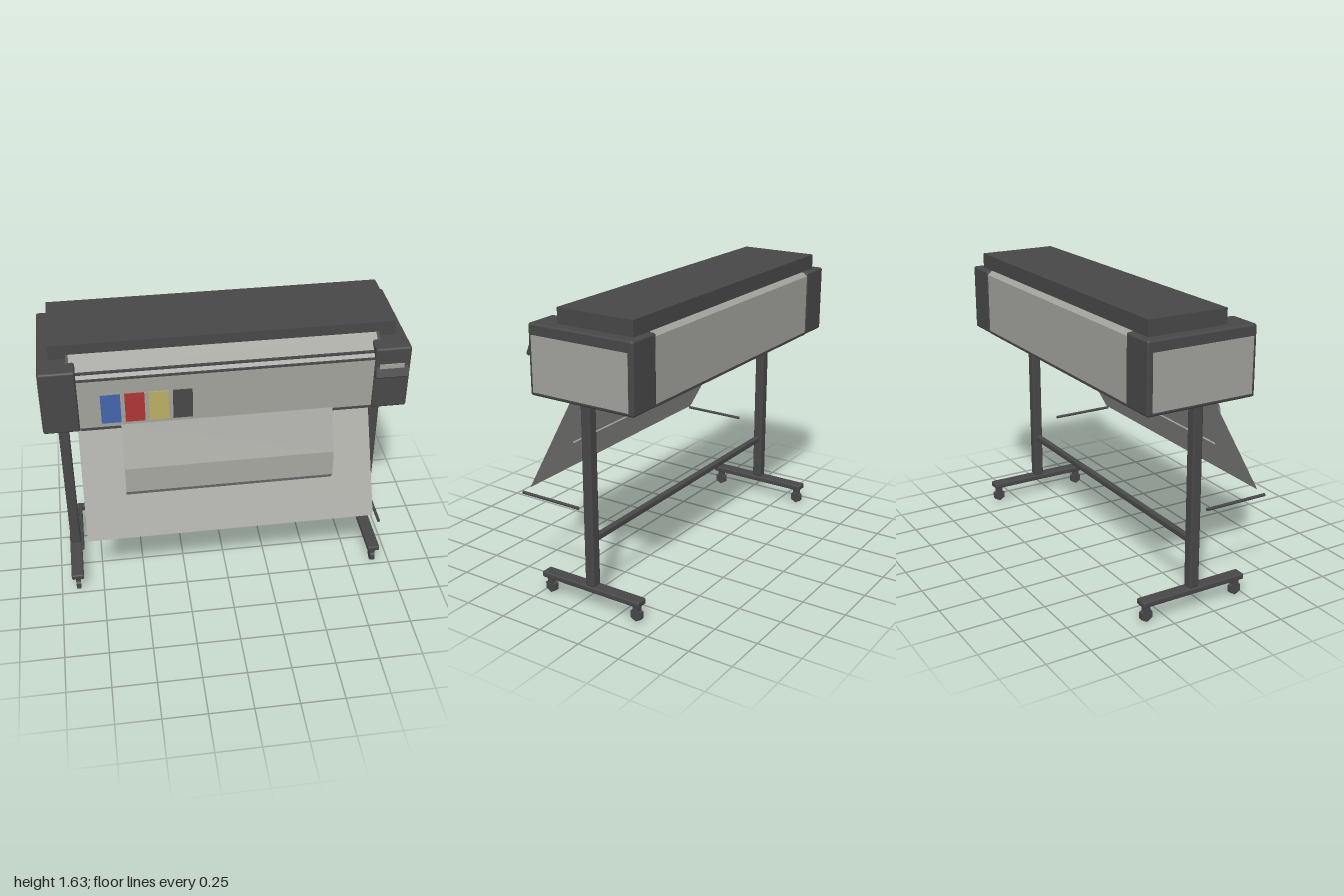
import * as THREE from 'three';
import { RoundedBoxGeometry } from 'three/addons/geometries/RoundedBoxGeometry.js';

const mat = (name, color, side = THREE.FrontSide) => {
  const m = new THREE.MeshStandardMaterial({ color, side });
  m.name = name;
  return m;
};

export function createModel() {
  const model = new THREE.Group();
  model.name = 'wideFormatPrinter';
  const dark = mat('charcoal', 0x484848);
  const light = mat('warmGrey', 0xa2a39d, THREE.DoubleSide);
  const blue = mat('blueInk', 0x4664ad);
  const red = mat('redInk', 0xaf3535);
  const yellow = mat('yellowInk', 0xbcae66);

  const add = (name, geo, material, x = 0, y = 0, z = 0) => {
    const mesh = new THREE.Mesh(geo, material);
    mesh.name = name;
    mesh.position.set(x, y, z);
    model.add(mesh);
    return mesh;
  };
  // Box given by its limits on each axis; r rounds the edges
  const box = (name, m, [x0, x1], [y0, y1], [z0, z1], r = 0) => {
    const size = [x1 - x0, y1 - y0, z1 - z0];
    const geo = r ? new RoundedBoxGeometry(...size, 2, r) : new THREE.BoxGeometry(...size);
    return add(name, geo, m, (x0 + x1) / 2, (y0 + y1) / 2, (z0 + z1) / 2);
  };
  // Solid with a [z, y] outline, running along x
  const prism = (name, m, outline, x0, x1) => {
    const shape = new THREE.Shape(outline.map(([z, y]) => new THREE.Vector2(z, y)));
    const geo = new THREE.ExtrudeGeometry(shape, { depth: x1 - x0, bevelEnabled: false });
    geo.rotateY(-Math.PI / 2);
    return add(name, geo, m, x1);
  };
  // Open sheet following a [z, y] path, flat between its points
  const sheet = (name, path, halfWidth) => {
    const pos = [];
    for (let i = 0; i < path.length - 1; i++) {
      const [za, ya] = path[i], [zb, yb] = path[i + 1], w = halfWidth;
      pos.push(-w, ya, za, -w, yb, zb, w, yb, zb, -w, ya, za, w, yb, zb, w, ya, za);
    }
    const geo = new THREE.BufferGeometry();
    geo.setAttribute('position', new THREE.Float32BufferAttribute(pos, 3));
    geo.computeVertexNormals();
    return add(name, geo, light);
  };

  // Central housing between the end caps
  prism('housing', light, [
    [0.2, 1.175], [0.2, 1.475], [0.165, 1.505], [0.1, 1.54],
    [-0.4, 1.54], [-0.425, 1.52], [-0.425, 1.175],
  ], -0.8, 0.8);
  box('housingBase', dark, [-0.8, 0.8], [1.16, 1.175], [-0.425, 0.203]);
  box('lowerRail', dark, [-0.8, 0.8], [1.472, 1.482], [0.18, 0.203]);
  box('upperRail', dark, [-0.8, 0.8], [1.496, 1.508], [0.155, 0.174]);

  // Sloped front cover and lid
  prism('frontCover', light, [[0.16, 1.508], [0.07, 1.565], [0.0, 1.565], [0.0, 1.508]], -0.83, 0.83);
  box('lid', dark, [-0.935, 0.935], [1.53, 1.625], [-0.39, 0.07]);

  for (const s of [-1, 1]) {
    const span = (a, b) => (s > 0 ? [a, b] : [-b, -a]);

    // End cap, its side panel and the cheek beside the cover
    box('endCap', dark, span(0.8, 0.997), [1.16, 1.54], [-0.43, 0.21], 0.012);
    box('sidePanel', light, span(0.994, 1), [1.18, 1.48], [-0.4, 0.19]);
    prism('coverCheek', dark, [[0.125, 1.535], [0.07, 1.566], [0.0, 1.566], [0.0, 1.535]], ...span(0.83, 0.845));

    // Stand: post, foot and casters
    box('post', dark, span(0.87, 0.93), [0.125, 1.165], [-0.11, -0.052], 0.01);
    box('foot', dark, span(0.864, 0.936), [0.093, 0.126], [-0.4, 0.24], 0.008);
    for (const z of [0.203, -0.365]) {
      box('casterStem', dark, span(0.885, 0.915), [0.06, 0.095], [z - 0.018, z + 0.018]);
      const wheel = new THREE.CylinderGeometry(0.037, 0.037, 0.026, 6).toNonIndexed();
      wheel.computeVertexNormals();
      wheel.rotateZ(Math.PI / 2).rotateX(Math.PI / 2);
      add('casterWheel', wheel, dark, s * 0.9, 0.035, z);
    }

    // Media support rod
    const rod = new THREE.CylinderGeometry(0.009, 0.009, 0.385, 8).rotateX(Math.PI / 2);
    add('supportRod', rod, dark, s * 0.845, 0.515, 0.238);
  }
  box('crossBar', dark, [-0.875, 0.875], [0.37, 0.405], [-0.098, -0.063], 0.008);

  // Ink windows on a thin backing plate
  box('inkBacking', light, [-0.68, -0.19], [1.2, 1.38], [0.198, 0.203]);
  [blue, red, yellow, dark].forEach((m, i) => {
    const x = -0.682 + i * 0.129;
    box('inkWindow', m, [x, x + 0.106], [1.2, 1.38], [0.2, 0.206]);
  });

  // Control panel on the left end cap
  prism('controlPanel', dark, [
    [0.205, 1.375], [0.225, 1.363], [0.237, 1.375], [0.213, 1.43], [0.205, 1.43],
  ], 0.805, 0.985);
  box('controlBezel', dark, [0.808, 0.982], [1.42, 1.455], [0.207, 0.212]);
  box('display', light, [0.825, 0.96], [1.418, 1.445], [0.209, 0.218]);

  // Hanging media and the bulged catch sheet
  sheet('mediaSheet', [[0.06, 1.17], [0.403, 0.54]], 0.815);
  sheet('catchSheet', [[0.207, 1.185], [0.31, 0.955], [0.322, 0.805], [0.28, 0.75]], 0.58);

  return model;
}
